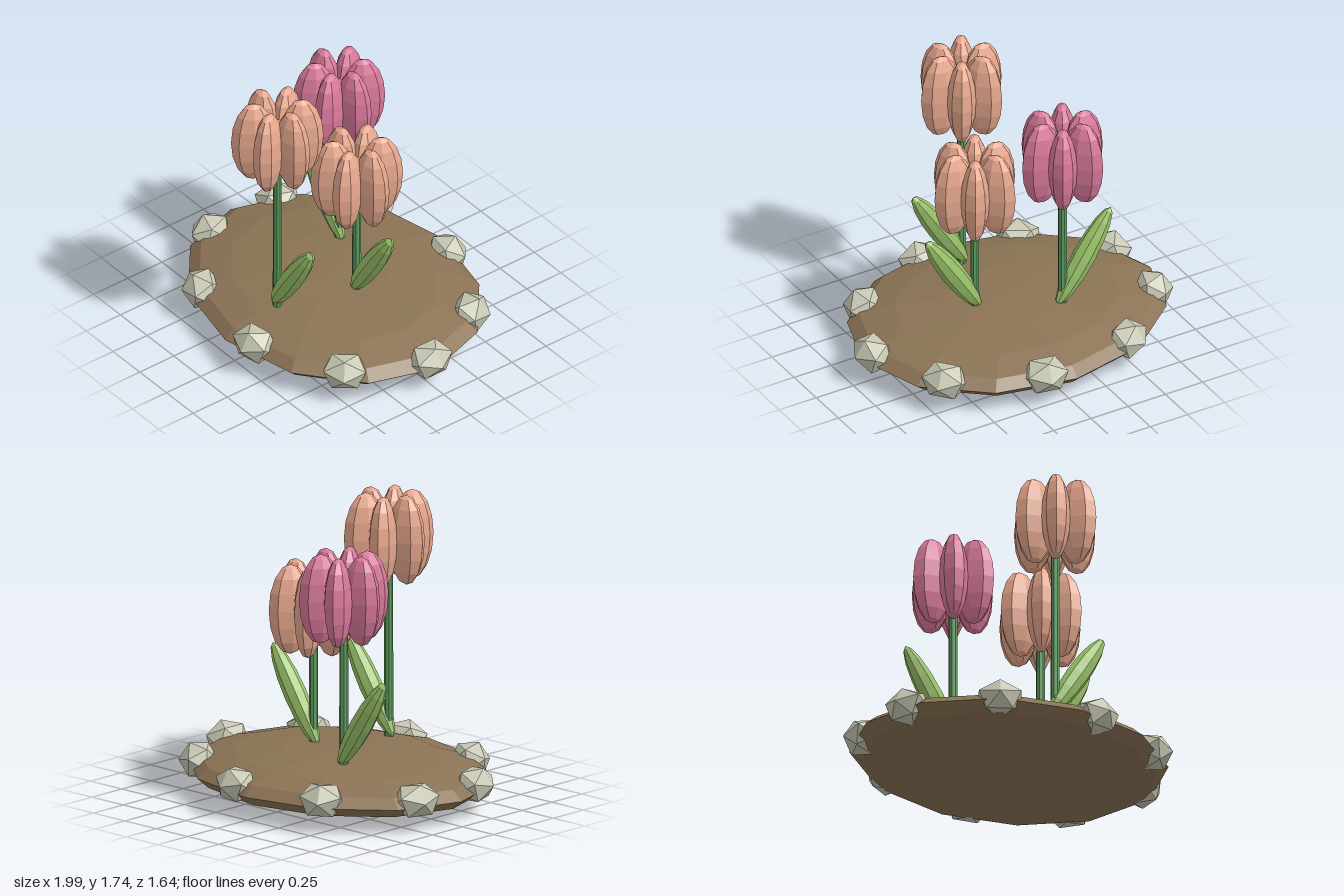
import * as THREE from 'three';

const mat = (color) => new THREE.MeshStandardMaterial({ color, flatShading: true });
const soil = mat(0x8b7355), stone = mat(0xc8c8b4), stemGreen = mat(0x5f9e60);
const leafGreen = mat(0x9bc46a), peach = mat(0xe9a98f), pink = mat(0xdb7a9c), yellow = mat(0xe8c040);

function add(parent, name, geometry, material, x = 0, y = 0, z = 0) {
  const mesh = new THREE.Mesh(geometry, material);
  mesh.name = name;
  mesh.position.set(x, y, z);
  parent.add(mesh);
  return mesh;
}

const ellipsoid = (rx, ry, rz, w = 8, h = 8) => new THREE.SphereGeometry(1, w, h).scale(rx, ry, rz);

// Tulip: stem, one leaning leaf, six upright petals round a small yellow heart
function tulip(name, x, z, bloomY, color, leafSide) {
  const g = new THREE.Group();
  g.name = name;
  g.position.set(x, 0, z);

  const base = 0.27, top = bloomY;
  add(g, 'stem', new THREE.CylinderGeometry(0.025, 0.027, top - base, 8), stemGreen, 0, (top + base) / 2, 0);

  const leaf = add(g, 'leaf', ellipsoid(0.07, 0.33, 0.063), leafGreen, leafSide * 0.145, 0.55, 0);
  leaf.rotation.z = -leafSide * 0.575;

  const petalShape = ellipsoid(0.13, 0.268, 0.083);
  for (let i = 0; i < 6; i++) {
    const a = (i * Math.PI) / 3;
    const petal = add(g, 'petal', petalShape, color, Math.cos(a) * 0.14, bloomY, -Math.sin(a) * 0.14);
    petal.rotation.y = a;
  }
  add(g, 'flowerHeart', ellipsoid(0.05, 0.05, 0.05, 8, 6), yellow, 0, bloomY + 0.08, 0);
  return g;
}

export function createModel() {
  const model = new THREE.Group();
  model.name = 'tulipBed';

  // Flattened mound of soil
  add(model, 'soilMound', ellipsoid(0.967, 0.15, 0.795, 12, 8), soil, -0.03, 0.153, 0);

  // Ring of nine stones, each with a corner pointing outwards
  const stoneShape = new THREE.IcosahedronGeometry(1, 0)
    .rotateZ(-Math.atan2(0.8507, 0.5257))
    .scale(0.118, 0.113, 0.145);
  for (let i = 0; i < 9; i++) {
    const a = (i * Math.PI * 2) / 9;
    const rock = add(model, 'borderStone', stoneShape, stone,
      -0.025 + Math.cos(a) * 0.897, 0.185, -Math.sin(a) * 0.717);
    rock.rotation.y = a;
  }

  // Three tulips of different heights
  model.add(
    tulip('tallTulip', 0.01, 0.445, 1.47, peach, 1),
    tulip('pinkTulip', -0.27, -0.225, 1.285, pink, -1),
    tulip('shortTulip', 0.185, 0, 1.095, peach, 1),
  );
  return model;
}
